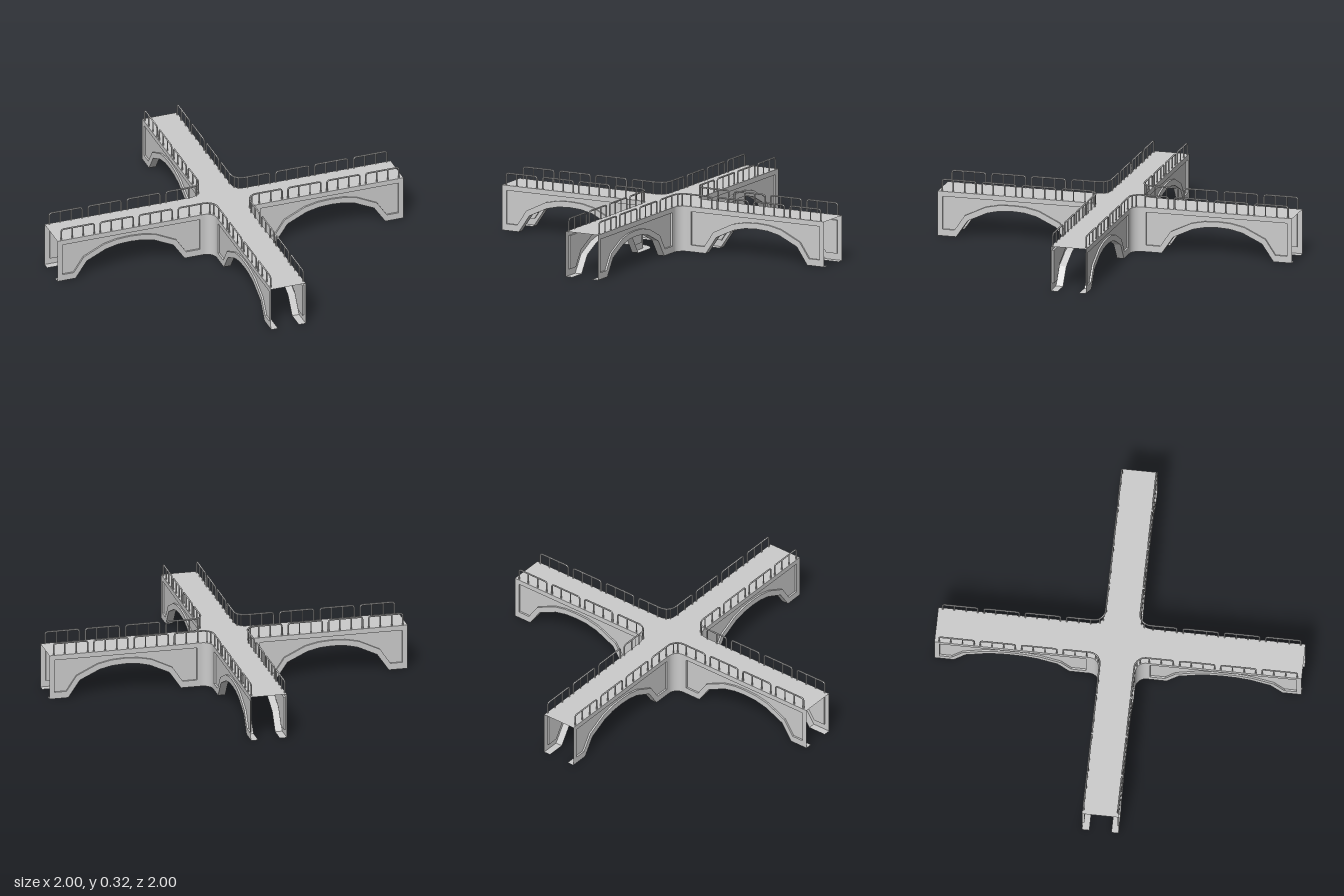
import * as THREE from 'three';

const mat = new THREE.MeshStandardMaterial({ color: 0xcccccc, side: THREE.DoubleSide });
const H = 0.25;    // deck height
const W = 0.1;     // half width of an arm
const C = 0.155;   // centre of the rounded inner corner
const R = C - W;   // its radius
const LIP = 0.04;  // depth of the arch underside
const MID = 0.58;  // arch centre along the arm

const v2 = (x, y) => new THREE.Vector2(x, y);

function add(parent, geometry, name) {
  const mesh = new THREE.Mesh(geometry, mat);
  mesh.name = name;
  parent.add(mesh);
  return mesh;
}

// Flat-shaded band following a profile in xy, running from depth z0 to z1
function strip(points, z0, z1) {
  const pos = [];
  for (let i = 0; i < points.length - 1; i++) {
    const a = points[i], b = points[i + 1];
    pos.push(a.x, a.y, z0, b.x, b.y, z0, b.x, b.y, z1);
    pos.push(a.x, a.y, z0, b.x, b.y, z1, a.x, a.y, z1);
  }
  const g = new THREE.BufferGeometry();
  g.setAttribute('position', new THREE.Float32BufferAttribute(pos, 3));
  g.computeVertexNormals();
  return g;
}

// Symmetric arch from half of its points (offset from centre, height)
function arch(half) {
  const left = half.map(([d, y]) => v2(MID - d, y));
  const right = half.slice(0, -1).reverse().map(([d, y]) => v2(MID + d, y));
  return [...left, ...right];
}

// Points on the rounded inner corner, from the +x arm to the +z arm
function cornerArc(radius, n = 8) {
  return Array.from({ length: n + 1 }, (_, i) => {
    const a = -Math.PI / 2 - (i / n) * Math.PI / 2;
    return [C + radius * Math.cos(a), C + radius * Math.sin(a)];
  });
}

// Side wall with arch opening, recessed panel and inward lip
function sideWall() {
  const g = new THREE.Group();
  g.name = 'sideWall';
  const opening = arch([[0.315, 0], [0.25, 0.095], [0.14, 0.147], [0.07, 0.163], [0, 0.167]]);
  const panelArch = arch([[0.325, 0.037], [0.268, 0.122], [0.15, 0.179], [0.075, 0.195], [0, 0.199]]);
  const bottom = [v2(C, 0), ...opening, v2(1, 0)];
  const panel = [v2(0.175, 0.037), ...panelArch, v2(0.972, 0.037), v2(0.972, 0.222), v2(0.175, 0.222)];

  const face = new THREE.Shape([...bottom, v2(1, H), v2(C, H)]);
  face.holes.push(new THREE.Path(panel));
  add(g, new THREE.ShapeGeometry(face), 'wallFace').position.z = W;
  add(g, new THREE.ShapeGeometry(new THREE.Shape(panel)), 'recessedPanel').position.z = W - 0.01;
  add(g, strip([...panel, panel[0]], W, W - 0.01), 'panelEdge');
  add(g, strip(bottom, W, W - LIP), 'archUnderside');
  return g;
}

// Railing section: a hoop with rounded ends along base points [x, z], plus posts
function railing(base, posts, name) {
  const g = new THREE.Group();
  g.name = name;
  const top = 0.316, r = 0.015, n = base.length - 1;
  const at = ([x, z], y) => new THREE.Vector3(x, y, z);
  const toward = (a, b) => at(a, top).add(at(b, top).sub(at(a, top)).setLength(r));
  const start = toward(base[0], base[1]), end = toward(base[n], base[n - 1]);
  const run = [start, ...base.slice(1, -1).map(p => at(p, top)), end];
  const path = new THREE.CurvePath();
  path.add(new THREE.LineCurve3(at(base[0], H), at(base[0], top - r)));
  path.add(new THREE.QuadraticBezierCurve3(at(base[0], top - r), at(base[0], top), start));
  for (let i = 0; i < run.length - 1; i++) path.add(new THREE.LineCurve3(run[i], run[i + 1]));
  path.add(new THREE.QuadraticBezierCurve3(end, at(base[n], top), at(base[n], top - r)));
  path.add(new THREE.LineCurve3(at(base[n], top - r), at(base[n], H)));
  add(g, new THREE.TubeGeometry(path, 64, 0.0045, 6), 'handrail');
  for (const [x, z] of posts) {
    add(g, new THREE.CylinderGeometry(0.004, 0.004, top - H, 6), 'railPost')
      .position.set(x, (top + H) / 2, z);
  }
  return g;
}

export function createModel() {
  const model = new THREE.Group();
  model.name = 'crossBridge';

  // Cross-shaped deck with rounded inner corners
  const quarter = [[1, W], ...cornerArc(R), [W, 1]];
  const outline = [];
  for (let k = 0; k < 4; k++) {
    for (let [x, z] of quarter) {
      for (let i = 0; i < k; i++) [x, z] = [-z, x];
      outline.push(v2(x, z));
    }
  }
  const deck = add(model, new THREE.ShapeGeometry(new THREE.Shape(outline)), 'deck');
  deck.rotation.x = -Math.PI / 2;
  deck.position.y = H;

  const railZ = W - 0.006;
  for (let k = 0; k < 4; k++) {
    const arm = new THREE.Group();
    arm.name = 'arm';
    arm.rotation.y = k * Math.PI / 2;
    model.add(arm);

    // Both sides of the arm
    for (const s of [1, -1]) {
      const side = new THREE.Group();
      side.name = 'armSide';
      side.scale.z = s;
      side.add(sideWall());
      for (let i = 0; i < 3; i++) {
        const x = 0.335 + i * 0.225;
        side.add(railing([[x, railZ], [x + 0.19, railZ]],
          [[x + 0.063, railZ], [x + 0.127, railZ]], 'railing'));
      }
      arm.add(side);
    }

    // Rounded corner wall, its bottom lip and the railing bending around it
    const wall = add(arm, new THREE.CylinderGeometry(R, R, H, 8, 1, true, Math.PI, Math.PI / 2), 'cornerWall');
    wall.position.set(C, H / 2, C);
    const lip = add(arm, new THREE.RingGeometry(R, R + LIP, 8, 1, Math.PI, Math.PI / 2), 'cornerLip');
    lip.rotation.x = Math.PI / 2;
    lip.position.set(C, 0, C);
    const bend = cornerArc(C - railZ);
    const posts = [[0.235, railZ], [0.17, railZ], bend[3], bend[5], [railZ, 0.17], [railZ, 0.235]];
    arm.add(railing([[0.3, railZ], ...bend, [railZ, 0.3]], posts, 'cornerRailing'));
  }
  return model;
}
